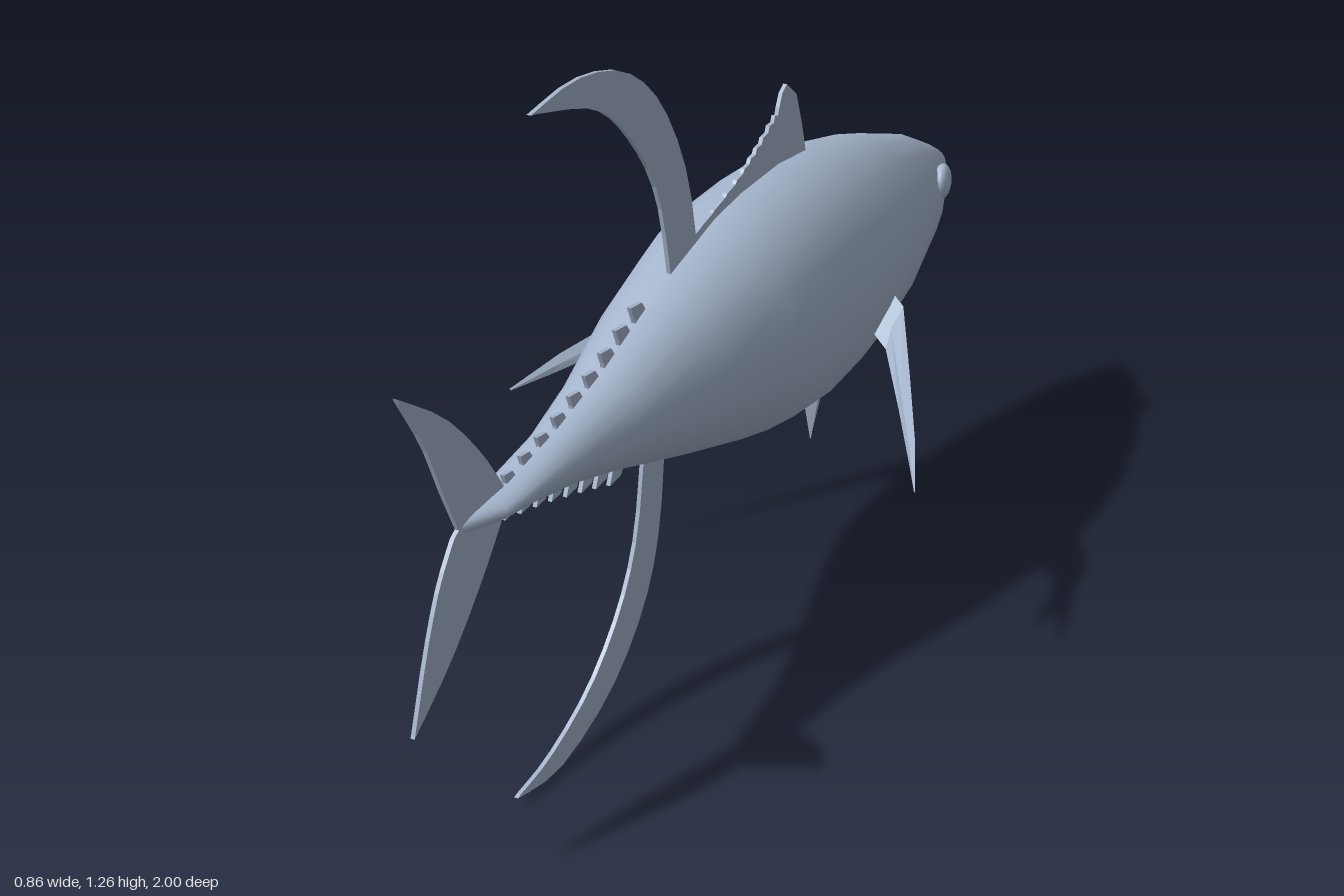
import * as THREE from 'three';

const skin = new THREE.MeshStandardMaterial({ color: 0xa5b5cc, side: THREE.DoubleSide });
skin.name = 'blue grey skin';

// Closed loft from equal-sized rings of points, capped at both ends
function loft(rings) {
  const n = rings[0].length, pos = [], idx = [];
  rings.forEach(r => r.forEach(p => pos.push(...p)));
  for (let i = 0; i < rings.length - 1; i++)
    for (let j = 0; j < n; j++) {
      const a = i * n + j, b = i * n + (j + 1) % n;
      idx.push(a, b, a + n, b, b + n, a + n);
    }
  const last = (rings.length - 1) * n;
  for (let j = 1; j < n - 1; j++) idx.push(0, j + 1, j, last, last + j, last + j + 1);
  const g = new THREE.BufferGeometry();
  g.setAttribute('position', new THREE.Float32BufferAttribute(pos, 3));
  g.setIndex(idx);
  g.computeVertexNormals();
  return g;
}

function add(group, name, geometry) {
  const m = new THREE.Mesh(geometry, skin);
  m.name = name;
  group.add(m);
  return m;
}

// Flat fin in the middle plane, outlined by [z, y] points
function midFin(points, thickness = 0.008) {
  const shape = new THREE.Shape(points.map(p => new THREE.Vector2(...p)));
  const g = new THREE.ExtrudeGeometry(shape, { depth: thickness, bevelEnabled: false });
  return g.translate(0, 0, -thickness / 2).rotateY(-Math.PI / 2);
}

// Smooth run of points through a few control points
function smooth(points, n = 14) {
  const c = new THREE.SplineCurve(points.map(p => new THREE.Vector2(...p)));
  return c.getPoints(n).map(p => [p.x, p.y]);
}

// Body stations: z, top y, bottom y, half width
const stations = [
  [-1, 0.625, 0.605, 0.006], [-0.97, 0.645, 0.58, 0.028], [-0.9, 0.685, 0.54, 0.063],
  [-0.8, 0.735, 0.475, 0.1], [-0.6, 0.805, 0.405, 0.147], [-0.4, 0.85, 0.368, 0.18],
  [-0.25, 0.865, 0.358, 0.188], [-0.1, 0.859, 0.372, 0.184], [0, 0.845, 0.398, 0.175],
  [0.2, 0.788, 0.457, 0.135], [0.4, 0.71, 0.52, 0.086], [0.55, 0.667, 0.56, 0.057],
  [0.7, 0.638, 0.59, 0.045], [0.76, 0.634, 0.597, 0.04], [0.8, 0.631, 0.6, 0.02], [0.84, 0.626, 0.606, 0.004],
];

// Body height limits at any z
function heights(z) {
  let i = 0;
  while (i < stations.length - 2 && stations[i + 1][0] < z) i++;
  const a = stations[i], b = stations[i + 1], t = (z - a[0]) / (b[0] - a[0]);
  return [a[1] + (b[1] - a[1]) * t, a[2] + (b[2] - a[2]) * t];
}

export function createModel() {
  const fish = new THREE.Group();
  fish.name = 'fish';

  // Body
  const SIDES = 18;
  const rings = stations.map(([z, top, bottom, w]) => Array.from({ length: SIDES }, (_, j) => {
    const a = j / SIDES * Math.PI * 2;
    return [Math.sin(a) * w, (top + bottom) / 2 + Math.cos(a) * (top - bottom) / 2, z];
  }));
  // rings run clockwise, so reverse them to face outwards
  add(fish, 'body', loft(rings.map(r => r.slice().reverse())));

  // Lower jaw, a wedge that flares downwards at the front
  const jawRing = (z, w, top, bottom) => [[-w, top, z], [-w * 0.6, bottom, z], [w * 0.6, bottom, z], [w, top, z]];
  const jaw = loft([
    jawRing(-0.995, 0.014, 0.585, 0.515), jawRing(-0.95, 0.034, 0.58, 0.523),
    jawRing(-0.86, 0.06, 0.57, 0.535),
  ]).toNonIndexed();
  jaw.computeVertexNormals();
  add(fish, 'lowerJaw', jaw);

  // Spiny first back fin with a stepped rear edge
  const spiny = [[-0.364, 0.84], [-0.345, 0.91], [-0.32, 0.98], [-0.28, 1.012], [-0.262, 1.0]];
  const rear = [[-0.25, 0.975], [-0.17, 0.928], [-0.075, 0.885], [0.08, 0.838]];
  smooth(rear, 11).forEach(([z, y], i) => {
    const step = 0.014 * (1 - i / 12);
    spiny.push([z, y], [z + 0.005, y - step]);
  });
  spiny.push([0.08, 0.79], [-0.1, 0.82]);
  add(fish, 'firstBackFin', midFin(spiny));

  // Long sickle fins above and below
  add(fish, 'secondBackFin', midFin([
    ...smooth([[0.06, 0.79], [0.1, 0.97], [0.19, 1.13], [0.31, 1.225], [0.46, 1.26], [0.602, 1.245]]),
    ...smooth([[0.59, 1.243], [0.406, 1.19], [0.29, 1.096], [0.2, 0.96], [0.155, 0.77]]),
  ]));
  add(fish, 'undersideFin', midFin([
    ...smooth([[0.185, 0.49], [0.21, 0.305], [0.273, 0.17], [0.396, 0.06], [0.567, 0.001], [0.706, 0.02]]),
    ...smooth([[0.695, 0.023], [0.594, 0.043], [0.46, 0.107], [0.353, 0.21], [0.29, 0.33], [0.26, 0.49]]),
  ]));

  // Forked tail
  add(fish, 'tailFin', midFin([
    ...smooth([[0.717, 0.64], [0.78, 0.73], [0.877, 0.834], [1, 0.92]], 8),
    ...smooth([[0.995, 0.91], [0.935, 0.81], [0.89, 0.706], [0.85, 0.62]], 8),
    ...smooth([[0.865, 0.61], [0.91, 0.545], [0.952, 0.45], [0.998, 0.315]], 8),
    ...smooth([[1, 0.31], [0.888, 0.396], [0.79, 0.497], [0.727, 0.575]], 8),
  ]));

  // Rows of finlets towards the tail
  for (const [side, start, end, count] of [[1, 0.25, 0.68, 9], [-1, 0.33, 0.68, 8]])
    for (let i = 0; i < count; i++) {
      const z = start + (end - start) * i / (count - 1);
      const y = heights(z)[side > 0 ? 0 : 1], s = 1 - 0.35 * i / count;
      add(fish, side > 0 ? 'upperFinlet' : 'lowerFinlet', midFin([
        [z - 0.01, y - side * 0.015], [z + 0.012 * s, y + side * 0.016 * s], [z + 0.05 * s, y + side * 0.02 * s],
        [z + 0.04 * s, y - side * 0.004], [z + 0.03, y - side * 0.03],
      ]));
    }

  // Paired parts, mirrored
  for (const side of [1, -1]) {
    const name = side > 0 ? 'left' : 'right';

    // Eye
    const eye = add(fish, name + 'Eye', new THREE.SphereGeometry(0.037, 20, 14));
    eye.scale.x = 0.5;
    eye.rotation.y = side * 0.25;
    eye.position.set(side * 0.091, 0.645, -0.81);

    // Long side fin, thickest in the middle of its width
    const blade = [
      [[0.165, 0.565, -0.425], [0.15, 0.51, -0.36]], [[0.2, 0.553, -0.4], [0.2, 0.493, -0.325]],
      [[0.3, 0.505, -0.22], [0.3, 0.453, -0.175]], [[0.38, 0.455, -0.075], [0.38, 0.423, -0.05]],
      [[0.43, 0.412, 0.028], [0.428, 0.408, 0.028]],
    ].map(([u, l], i) => {
      const t = [0.006, 0.006, 0.005, 0.004, 0.001][i];
      const mid = u.map((v, k) => (v + l[k]) / 2);
      const ring = [u, [mid[0] + t, mid[1] + t * 0.3, mid[2] - t * 0.5], l, [mid[0] - t, mid[1] - t * 0.3, mid[2] + t * 0.5]];
      const mirrored = ring.map(p => [p[0] * side, p[1], p[2]]);
      return side > 0 ? mirrored : mirrored.reverse();
    });
    const fin = loft(blade).toNonIndexed();
    fin.computeVertexNormals();
    add(fish, name + 'SideFin', fin);

    // Small belly fin
    const belly = loft([
      [[0.052, 0.385, -0.37], [0.06, 0.385, -0.33], [0.045, 0.385, -0.28], [0.048, 0.385, -0.33]],
      [[0.083, 0.312, -0.245], [0.085, 0.312, -0.242], [0.085, 0.31, -0.238], [0.083, 0.31, -0.242]],
    ].map(r => {
      const mirrored = r.map(p => [p[0] * side, p[1], p[2]]);
      return side > 0 ? mirrored : mirrored.reverse();
    })).toNonIndexed();
    belly.computeVertexNormals();
    add(fish, name + 'BellyFin', belly);
  }
  return fish;
}
